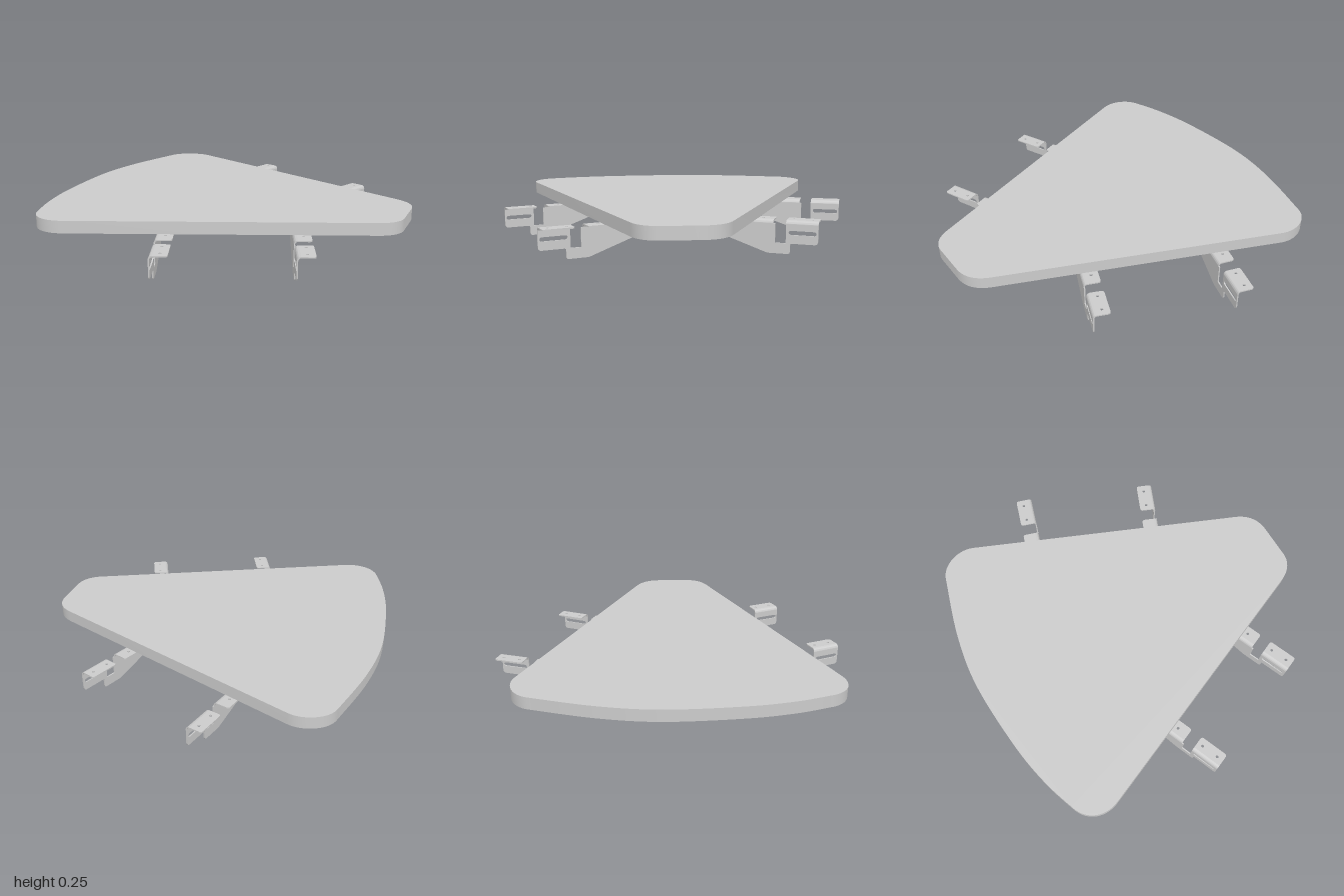
import * as THREE from 'three';
import { toCreasedNormals } from 'three/addons/utils/BufferGeometryUtils.js';

const TOP = 0.245, UNDER = 0.178; // table top and underside heights
const T = 0.007, R = 0.02, W = 0.093; // sheet thickness, bend radius, flange width
const material = new THREE.MeshStandardMaterial({ color: 0xcccccc, side: THREE.DoubleSide });

function extrude(shape, depth, curveSegments = 8) {
  return new THREE.ExtrudeGeometry(shape, { depth, bevelEnabled: false, curveSegments });
}

function addMesh(parent, geometry, name) {
  const mesh = new THREE.Mesh(toCreasedNormals(geometry, 0.6), material);
  mesh.name = name;
  parent.add(mesh);
}

// Closed polygon from [x, y, cornerRadius] points
function roundedPolygon(points) {
  const shape = new THREE.Shape();
  const n = points.length;
  points.forEach(([x, y, r = 0], i) => {
    const p = new THREE.Vector2(x, y);
    const toward = ([qx, qy]) => new THREE.Vector2(qx, qy).sub(p).setLength(r).add(p);
    const a = toward(points[(i + n - 1) % n]);
    const b = toward(points[(i + 1) % n]);
    if (i === 0) shape.moveTo(a.x, a.y);
    else shape.lineTo(a.x, a.y);
    if (r > 0) shape.quadraticCurveTo(x, y, b.x, b.y);
  });
  shape.closePath();
  return shape;
}

// Rounded, curved-sided triangular panel, outlined in plan (x, z)
function tableTop() {
  const s = new THREE.Shape();
  s.moveTo(-0.83, 0.65);
  s.bezierCurveTo(-0.93, 0.65, -1, 0.58, -1, 0.49);
  s.splineThru([[-0.985, 0.28], [-0.93, 0.02], [-0.8, -0.36], [-0.64, -0.64], [-0.42, -0.92]]
    .map(([x, z]) => new THREE.Vector2(x, z)));
  s.bezierCurveTo(-0.365, -0.992, -0.237, -0.992, -0.17, -0.925);
  s.lineTo(0.94, 0.2);
  s.bezierCurveTo(0.995, 0.255, 1.015, 0.32, 0.98, 0.4);
  s.lineTo(0.91, 0.57);
  s.bezierCurveTo(0.885, 0.625, 0.83, 0.65, 0.77, 0.65);
  s.closePath();
  return extrude(s, TOP - UNDER, 16).rotateX(Math.PI / 2).translate(0, TOP, 0);
}

// Folded sheet bracket: outer end at z = 0, running inward along -z, flange toward +x
function makeBracket(name, x, z, angle) {
  const bracket = new THREE.Group();
  bracket.name = name;

  // Upright web with a deep notch and a long slot
  const y = UNDER - R;
  const web = roundedPolygon([
    [-0.65, y], [-0.65, 0.13], [-0.265, 0, 0.01], [-0.145, 0, 0.015],
    [-0.145, 0.056, 0.01], [0, 0.056, 0.02], [0, y],
    [-0.168, y], [-0.168, 0.056], [-0.225, 0.056], [-0.225, y],
  ]);
  const slot = new THREE.Path();
  slot.absarc(-0.143, 0.113, 0.011, Math.PI / 2, Math.PI * 1.5);
  slot.absarc(-0.02, 0.113, 0.011, -Math.PI / 2, Math.PI / 2);
  slot.closePath();
  web.holes.push(slot);
  addMesh(bracket, extrude(web, T).rotateY(-Math.PI / 2).translate(T, 0, 0), 'web');

  // Inner and outer flanges, each with a curved bend and two screw holes
  for (const [label, z0, z1, holes] of [
    ['inner', -0.65, -0.235, [-0.59, -0.3]],
    ['outer', -0.168, 0, [-0.135, -0.038]],
  ]) {
    const flange = roundedPolygon([[R, z0], [W, z0, 0.015], [W, z1, 0.015], [R, z1]]);
    for (const h of holes) {
      const hole = new THREE.Path();
      hole.absarc(0.053, h, 0.008, 0, Math.PI * 2);
      flange.holes.push(hole);
    }
    addMesh(bracket, extrude(flange, T).rotateX(Math.PI / 2).translate(0, UNDER, 0), label + 'Flange');

    const bend = new THREE.Shape();
    bend.absarc(R, y, R, Math.PI / 2, Math.PI, false);
    bend.absarc(R, y, R - T, Math.PI, Math.PI / 2, true);
    bend.closePath();
    addMesh(bracket, extrude(bend, z1 - z0).translate(0, 0, z0), label + 'Bend');
  }

  bracket.position.set(x, 0, z);
  bracket.rotation.y = THREE.MathUtils.degToRad(angle);
  return bracket;
}

export function createModel() {
  const model = new THREE.Group();
  model.name = 'cornerTable';
  addMesh(model, tableTop(), 'tableTop');
  model.add(
    makeBracket('frontRightBracket', -0.357, 0.973, 0),
    makeBracket('frontLeftBracket', 0.338, 0.973, 0),
    makeBracket('backRightBracket', 0.318, -0.888, 140),
    makeBracket('backLeftBracket', 0.847, -0.353, 135),
  );
  return model;
}
